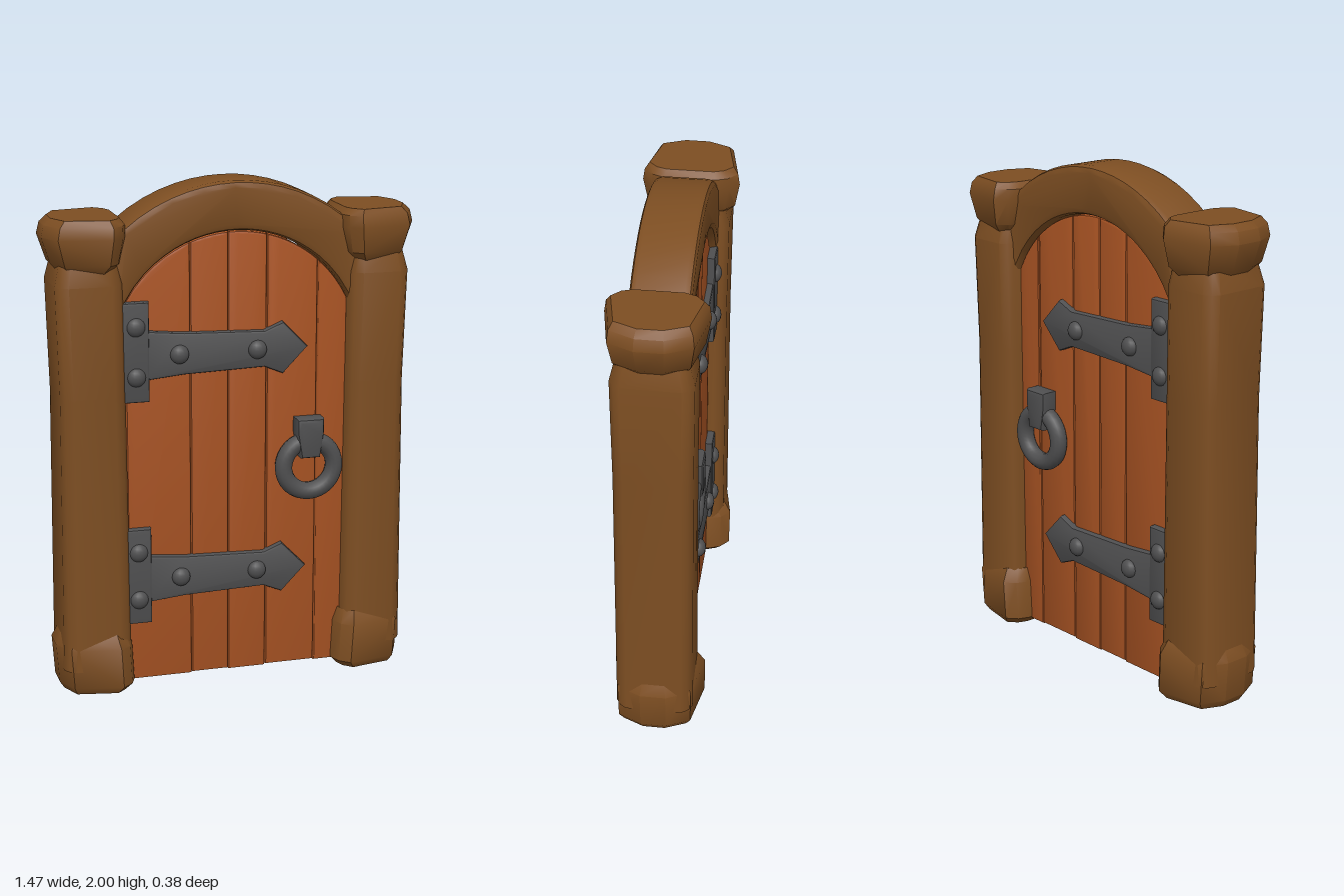
import * as THREE from 'three';
import { toCreasedNormals } from 'three/addons/utils/BufferGeometryUtils.js';

const mat = (name, color) => {
  const m = new THREE.MeshStandardMaterial({ color });
  m.name = name;
  return m;
};

// Cross-sections: u runs from the door side (0) to the outside (1), w is a share of the half depth
const mirrorSection = (half) => [...half, ...half.map(([u, w]) => [u, -w]).reverse()];
const POST = mirrorSection([[0, 0.72], [0.06, 0.88], [0.18, 1], [0.82, 1], [0.94, 0.88], [1, 0.72]]);
const BLOCK = mirrorSection([[0, 0.55], [0.06, 0.8], [0.2, 1], [0.85, 0.8], [1, 0.28]]);

// Loft a section through rings of [y, inner x, outer x, half depth]; side is +1 or -1
function loft(section, rings, side) {
  const n = section.length;
  const pos = [], idx = [];
  const tri = (a, b, c) => (side > 0 ? idx.push(a, b, c) : idx.push(a, c, b));
  for (const [y, a, b, d] of rings) {
    for (const [u, w] of section) pos.push(side * (a + (b - a) * u), y, w * d);
  }
  for (let r = 0; r < rings.length - 1; r++) {
    for (let i = 0; i < n; i++) {
      const j = (i + 1) % n, lo = r * n, hi = lo + n;
      tri(lo + i, lo + j, hi + j);
      tri(lo + i, hi + j, hi + i);
    }
  }
  // end faces
  const top = (rings.length - 1) * n;
  for (let i = 1; i < n - 1; i++) {
    tri(0, i + 1, i);
    tri(top, top + i, top + i + 1);
  }
  const g = new THREE.BufferGeometry();
  g.setAttribute('position', new THREE.Float32BufferAttribute(pos, 3));
  g.setIndex(idx);
  return toCreasedNormals(g, 0.6);
}

// Bevelled slab, centred on z = 0, whose outline stays true to the points
function slab(points, depth, bevel) {
  const g = new THREE.ExtrudeGeometry(new THREE.Shape(points.map(([x, y]) => new THREE.Vector2(x, y))), {
    depth: depth - 2 * bevel, bevelThickness: bevel, bevelSize: bevel, bevelOffset: -bevel, bevelSegments: 2,
  });
  g.translate(0, 0, -depth / 2 + bevel);
  return toCreasedNormals(g, 0.6);
}

// Points along a circular arc above the door, from x0 to x1
function arc(x0, x1, steps, cy, r) {
  return Array.from({ length: steps + 1 }, (_, i) => {
    const x = x0 + ((x1 - x0) * i) / steps;
    return [x, cy + Math.sqrt(r * r - (x - 0.01) ** 2)];
  });
}

export function createModel() {
  const model = new THREE.Group();
  model.name = 'archedDoor';
  const frameWood = mat('frameWood', 0x7d4e22);
  const doorWood = mat('doorWood', 0xa85323);
  const iron = mat('iron', 0x4f4f50);
  const add = (parent, name, geometry, material, x = 0, y = 0, z = 0) => {
    const m = new THREE.Mesh(geometry, material);
    m.name = name;
    m.position.set(x, y, z);
    parent.add(m);
  };

  // Hand-hewn posts with foot and cap blocks; the left post sits slightly further out
  const foot = [[0, 0.44, 0.685, 0.155], [0.03, 0.412, 0.704, 0.178], [0.19, 0.42, 0.715, 0.18], [0.243, 0.44, 0.69, 0.15]];
  const cap = [[1.665, 0.485, 0.66, 0.13], [1.71, 0.445, 0.7, 0.172], [1.81, 0.424, 0.733, 0.19],
    [1.855, 0.425, 0.722, 0.183], [1.88, 0.445, 0.695, 0.165]];
  for (const [name, side, inner] of [['left', 1, 0.455], ['right', -1, 0.433]]) {
    const post = [[0.1, inner - 0.008, 0.695, 0.15], [1.2, inner, 0.686, 0.148], [1.63, inner + 0.006, 0.697, 0.152],
      [1.72, inner + 0.02, 0.675, 0.13]];
    add(model, name + 'Post', loft(POST, post, side), frameWood);
    add(model, name + 'Foot', loft(BLOCK, foot, side), frameWood);
    add(model, name + 'Cap', loft(BLOCK, cap, side), frameWood);
  }

  // Arched lintel, its ends buried in the posts
  add(model, 'arch', slab([...arc(-0.5, 0.5, 16, 1.31, 0.69), ...arc(0.49, -0.47, 24, 1.31, 0.5)], 0.225, 0.025), frameWood);

  // Door planks, cut to follow the arch
  const seams = [-0.425, -0.17, -0.02, 0.135, 0.34, 0.46];
  for (let i = 0; i < seams.length - 1; i++) {
    const a = seams[i] + 0.001, b = seams[i + 1] - 0.001;
    const bottom = 0.02 + (i % 2) * 0.004;
    add(model, 'plank' + (i + 1), slab([[a, bottom], [b, bottom], ...arc(b, a, 8, 1.305, 0.5)], 0.165, 0.009), doorWood);
  }
  // Core closing the seams between planks
  add(model, 'doorCore', slab([[-0.41, 0.04], [0.45, 0.04], ...arc(0.45, -0.41, 16, 1.29, 0.5)], 0.13, 0.002), doorWood);

  // Iron fittings, the same on both faces
  const plate = slab([[-0.455, -0.195], [-0.338, -0.195], [-0.338, 0.195], [-0.455, 0.195]], 0.07, 0.01);
  const strapEdge = [[-0.36, 0.097], [-0.2, 0.082], [0.12, 0.072], [0.195, 0.103]];
  const strapTop = strapEdge.map(([x, y]) => [x, y]).reverse();
  const strap = slab([...strapEdge.map(([x, y]) => [x, -y]), [0.295, 0], ...strapTop], 0.06, 0.01);
  const rivet = new THREE.SphereGeometry(0.037, 16, 10).scale(1, 1, 0.75);
  const ring = new THREE.TorusGeometry(0.104, 0.035, 12, 32);
  const bracket = slab([[0.262, 0.9], [0.34, 0.9], [0.355, 1], [0.355, 1.06], [0.245, 1.06], [0.245, 1]], 0.085, 0.016);

  for (const [face, z] of [['front', 1], ['back', -1]]) {
    for (const [level, y] of [['Upper', 1.345], ['Lower', 0.445]]) {
      const hinge = new THREE.Group();
      hinge.name = face + level + 'Hinge';
      hinge.position.y = y;
      model.add(hinge);
      add(hinge, 'hingePlate', plate, iron, 0, 0.015, z * 0.078);
      add(hinge, 'hingeStrap', strap, iron, 0, 0, z * 0.078);
      for (const [rx, ry] of [[-0.39, 0.115], [-0.39, -0.08], [-0.22, 0], [0.09, 0]]) {
        add(hinge, 'rivet', rivet, iron, rx, ry, z * 0.108);
      }
    }
    const handle = new THREE.Group();
    handle.name = face + 'Handle';
    model.add(handle);
    add(handle, 'ring', ring, iron, 0.302, 0.862, z * 0.109);
    add(handle, 'ringBracket', bracket, iron, 0, 0, z * 0.107);
  }
  return model;
}
